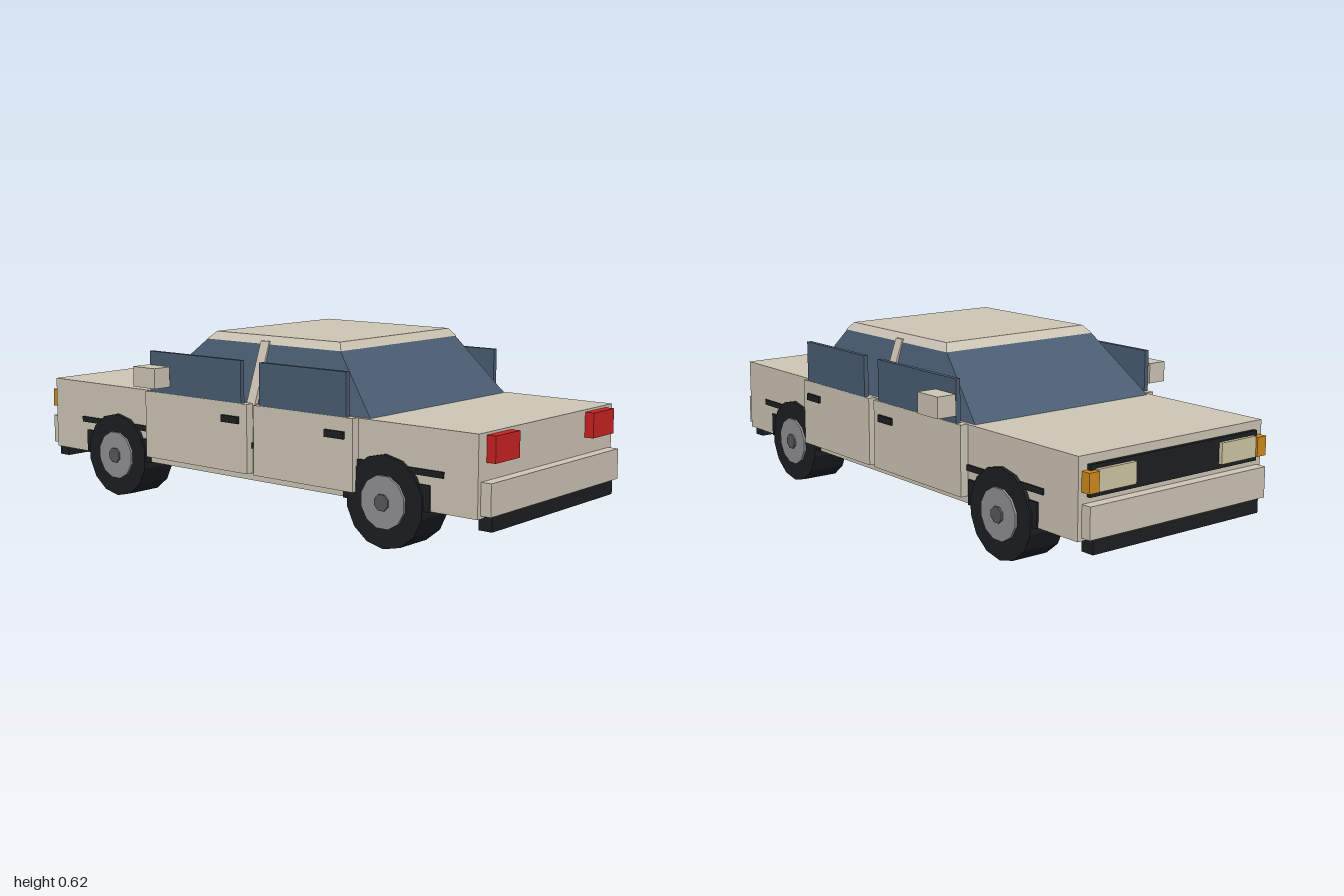
import * as THREE from 'three';

const mat = (color) => new THREE.MeshStandardMaterial({ color, flatShading: true });

export function createModel() {
  const car = new THREE.Group();
  car.name = 'car';
  const paint = mat(0xcdc5b5), glass = mat(0x4a5d72), black = mat(0x1c1e20), red = mat(0xc82222);
  const amber = mat(0xd08a1a), lamp = mat(0xcfc6a4), steel = mat(0x909094), cap = mat(0x58595d);

  const add = (name, geometry, material, parent = car) => {
    const mesh = new THREE.Mesh(geometry, material);
    mesh.name = name;
    parent.add(mesh);
    return mesh;
  };

  // Box given by its limits on each axis
  const box = (name, material, [x0, x1], [y0, y1], [z0, z1]) => {
    const g = new THREE.BoxGeometry(x1 - x0, y1 - y0, z1 - z0);
    g.translate((x0 + x1) / 2, (y0 + y1) / 2, (z0 + z1) / 2);
    return add(name, g, material);
  };
  // Same box on both sides of the car
  const pair = (name, material, [x0, x1], y, z) => {
    box(name + 'Left', material, [x0, x1], y, z);
    box(name + 'Right', material, [-x1, -x0], y, z);
  };
  // Box whose bottom and top rectangles differ: [x0, x1, z0, z1]
  const taper = (name, material, [y0, y1], bottom, top) => {
    const g = new THREE.BoxGeometry(1, 1, 1);
    const p = g.attributes.position;
    for (let i = 0; i < p.count; i++) {
      const r = p.getY(i) > 0 ? top : bottom;
      p.setXYZ(i, r[p.getX(i) > 0 ? 1 : 0], p.getY(i) > 0 ? y1 : y0, r[p.getZ(i) > 0 ? 3 : 2]);
    }
    g.computeVertexNormals();
    return add(name, g, material);
  };

  // Body, greenhouse and roof
  box('body', paint, [-0.395, 0.395], [0.14, 0.4], [-0.963, 0.963]);
  taper('cabinGlass', glass, [0.4, 0.597], [-0.38, 0.38, -0.455, 0.543], [-0.32, 0.32, -0.225, 0.37]);
  taper('roof', paint, [0.595, 0.622], [-0.322, 0.322, -0.228, 0.375], [-0.302, 0.302, -0.2, 0.355]);
  taper('centrePillarLeft', paint, [0.4, 0.605], [0.36, 0.395, 0.025, 0.063], [0.29, 0.322, 0.025, 0.063]);
  taper('centrePillarRight', paint, [0.4, 0.605], [-0.395, -0.36, 0.025, 0.063], [-0.322, -0.29, 0.025, 0.063]);

  // Doors, door windows, handles and mirrors
  pair('frontDoor', paint, [0.395, 0.425], [0.165, 0.402], [-0.438, 0.053]);
  pair('rearDoor', paint, [0.395, 0.425], [0.165, 0.402], [0.083, 0.508]);
  pair('frontDoorWindow', glass, [0.407, 0.424], [0.4, 0.547], [-0.413, 0.026]);
  pair('rearDoorWindow', glass, [0.407, 0.424], [0.4, 0.547], [0.11, 0.48]);
  pair('frontHandle', black, [0.42, 0.434], [0.333, 0.357], [-0.06, 0.018]);
  pair('rearHandle', black, [0.42, 0.434], [0.333, 0.357], [0.397, 0.475]);
  pair('mirror', paint, [0.428, 0.5], [0.428, 0.499], [-0.417, -0.31]);

  // Side trim and wheel arches
  pair('sideTrim', black, [0.39, 0.401], [0.25, 0.27], [-0.81, 0.84]);
  for (const [end, z] of [['front', -0.615], ['rear', 0.62]]) {
    pair(end + 'ArchTrim', black, [0.385, 0.401], [0.138, 0.222], [z - 0.17, z + 0.17]);

    // Wheels
    for (const [side, s] of [['Left', 1], ['Right', -1]]) {
      const wheel = new THREE.Group();
      wheel.name = end + 'Wheel' + side;
      wheel.position.set(0, 0.148, z);
      car.add(wheel);
      const disc = (name, r, x0, x1, sides, material) => {
        const g = new THREE.CylinderGeometry(r, r, x1 - x0, sides);
        g.rotateY(Math.PI / sides);
        g.rotateZ(Math.PI / 2);
        g.translate(s * (x0 + x1) / 2, 0, 0);
        add(name, g, material, wheel);
      };
      disc('tyre', 0.151, 0.27, 0.408, 14, black);
      disc('rim', 0.087, 0.4, 0.416, 12, steel);
      disc('hubCap', 0.028, 0.41, 0.423, 8, cap);
    }
  }

  // Bumpers with black lower lips at both ends
  for (const [end, s] of [['front', -1], ['rear', 1]]) {
    const span = (a, b) => [Math.min(s * a, s * b), Math.max(s * a, s * b)];
    box(end + 'Bumper', paint, [-0.38, 0.38], [0.15, 0.253], span(0.95, 1));
    box(end + 'BumperLip', black, [-0.36, 0.36], [0.1, 0.15], span(0.943, 0.992));
  }

  // Lamps and grille
  pair('tailLamp', red, [0.22, 0.352], [0.308, 0.392], [0.955, 0.995]);
  box('grille', black, [-0.36, 0.36], [0.272, 0.372], [-0.977, -0.955]);
  pair('headLamp', lamp, [0.185, 0.342], [0.288, 0.358], [-0.99, -0.955]);
  pair('indicator', amber, [0.342, 0.382], [0.29, 0.354], [-0.997, -0.955]);

  return car;
}
